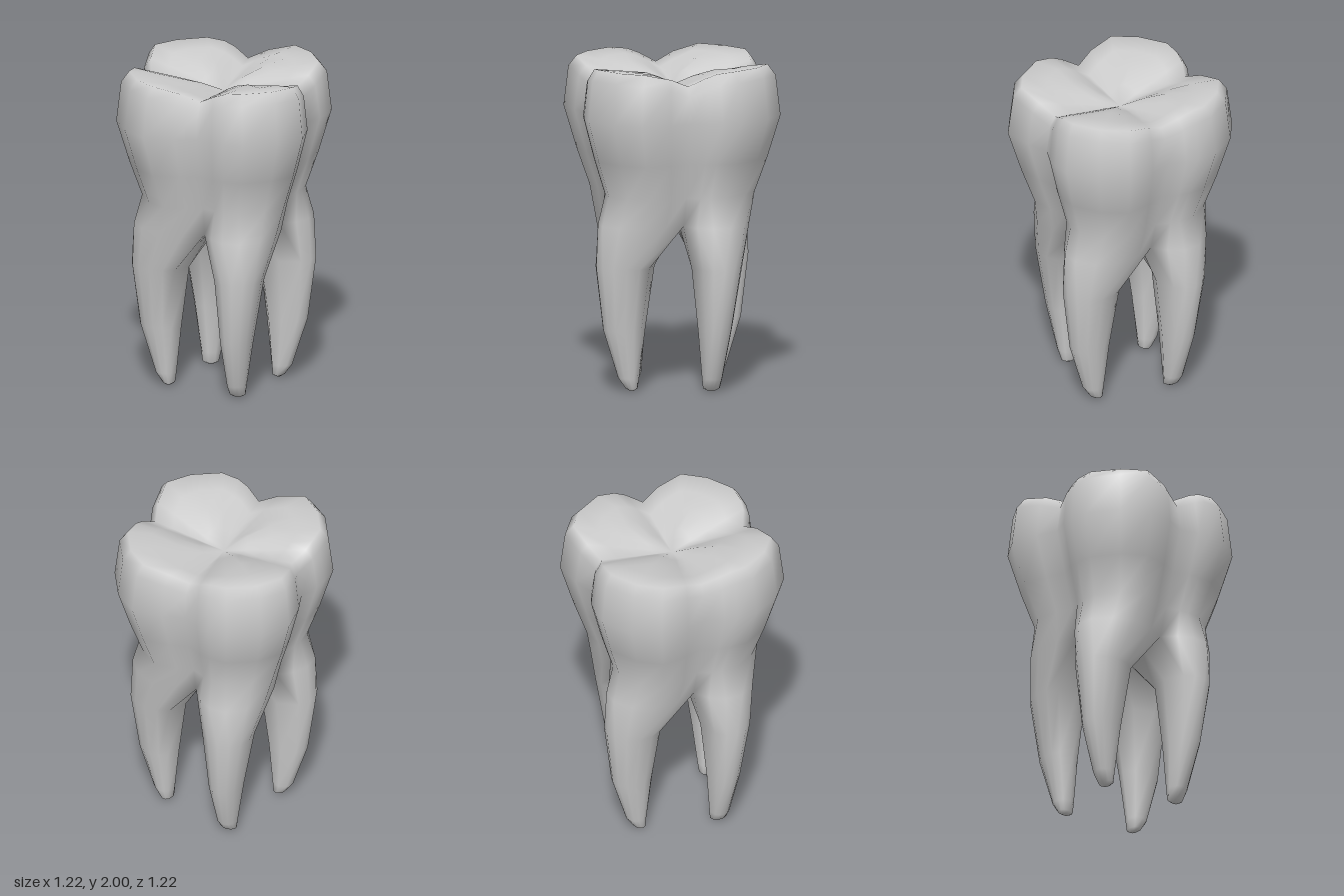
import * as THREE from 'three';
import { mergeVertices } from 'three/addons/utils/BufferGeometryUtils.js';

// One quadrant of the crown outline at its widest, front groove to side groove (x, z)
const OUTLINE = [[0.01, 0.53], [0.12, 0.575], [0.2, 0.585], [0.325, 0.58],
  [0.505, 0.46], [0.612, 0.305], [0.58, 0.12], [0.53, -0.01]];

// Where the roots part: eight outer points, then three along the fork
const FORK = [[0, 0.36], [0.07, 0.44], [0.16, 0.49], [0.27, 0.485], [0.37, 0.4],
  [0.425, 0.27], [0.41, 0.12], [0.36, 0], [0.18, 0], [0, 0], [0, 0.18]];

// Root sections: y, xMin, xMax, zMin, zMax
const ROOT = [
  [0.77, 0.055, 0.365, 0.15, 0.515],
  [0.38, 0.095, 0.3, 0.205, 0.467],
  [0.08, 0.125, 0.25, 0.24, 0.372],
  [0.015, 0.135, 0.238, 0.25, 0.325],
  [0, 0.165, 0.21, 0.272, 0.302],
];
const ROOT_ANGLES = [...Array.from({ length: 8 }, (_, i) => 135 - i * 180 / 7), -90, -135, -180]
  .map(THREE.MathUtils.degToRad);

// Height of the chewing surface: cross-shaped groove between four cusps
function cuspHeight(x, z, s) {
  const d = Math.min(Math.abs(x), Math.abs(z));
  const t = Math.min(d / 0.26, 1);
  return 1.905 + 0.095 * Math.sin(t * Math.PI / 2) - 0.06 * (1 - s / 0.88);
}

const crownRing = (s, height) => OUTLINE.map(([x, z], i) => [x * s, height(x * s, z * s, i), z * s]);

function rootRing([y, x0, x1, z0, z1]) {
  return ROOT_ANGLES.map((a) => [
    (x0 + x1) / 2 + Math.cos(a) * (x1 - x0) / 2, y,
    (z0 + z1) / 2 + Math.sin(a) * (z1 - z0) / 2]);
}

export function createModel() {
  const positions = [];

  // Skin between two sections, repeated by quarter turns around the tooth
  function skin(lower, upper, closed) {
    const n = lower.length;
    for (let i = 0; i < (closed ? n : n - 1); i++) {
      const j = (i + 1) % n;
      for (const tri of [[lower[i], lower[j], upper[j]], [lower[i], upper[j], upper[i]]]) {
        const [a, b, c] = tri.map((p) => new THREE.Vector3(...p));
        if (b.sub(a).cross(c.sub(a)).length() < 1e-9) continue;
        for (let q = 0; q < 4; q++) {
          for (const [x, y, z] of tri) {
            const turned = [[x, z], [z, -x], [-x, -z], [-z, x]][q];
            positions.push(turned[0], y, turned[1]);
          }
        }
      }
    }
  }

  // Crown: neck, bulge, rolled rim and chewing surface
  const rimY = [1.85, 1.9, 1.925, 1.935, 1.94, 1.935, 1.9, 1.85];
  const fork = FORK.map(([x, z]) => [x, 1.03, z]);
  const crown = [
    fork.slice(0, 8),
    crownRing(0.76, () => 1.21),
    crownRing(0.88, () => 1.43),
    crownRing(1, () => 1.69),
    crownRing(0.955, (x, z, i) => rimY[i]),
    ...[0.88, 0.66, 0.44, 0.22, 0].map((s) => crownRing(s, (x, z) => cuspHeight(x, z, s))),
  ];
  for (let i = 1; i < crown.length; i++) skin(crown[i - 1], crown[i], false);

  // Four tapering roots, each closed by a small blunt tip
  const root = [fork, ...ROOT.map(rootRing)];
  const tip = root[0].map(() => [0.187, 0, 0.287]);
  root.push(tip);
  for (let i = 1; i < root.length; i++) skin(root[i], root[i - 1], true);

  let geometry = new THREE.BufferGeometry();
  geometry.setAttribute('position', new THREE.Float32BufferAttribute(positions, 3));
  geometry = mergeVertices(geometry, 1e-4);
  geometry.computeVertexNormals();

  const enamel = new THREE.MeshStandardMaterial({ color: 0xcccccc });
  enamel.name = 'enamel';
  const tooth = new THREE.Mesh(geometry, enamel);
  tooth.name = 'crownAndRoots';

  const group = new THREE.Group();
  group.name = 'molar';
  group.add(tooth);
  return group;
}
